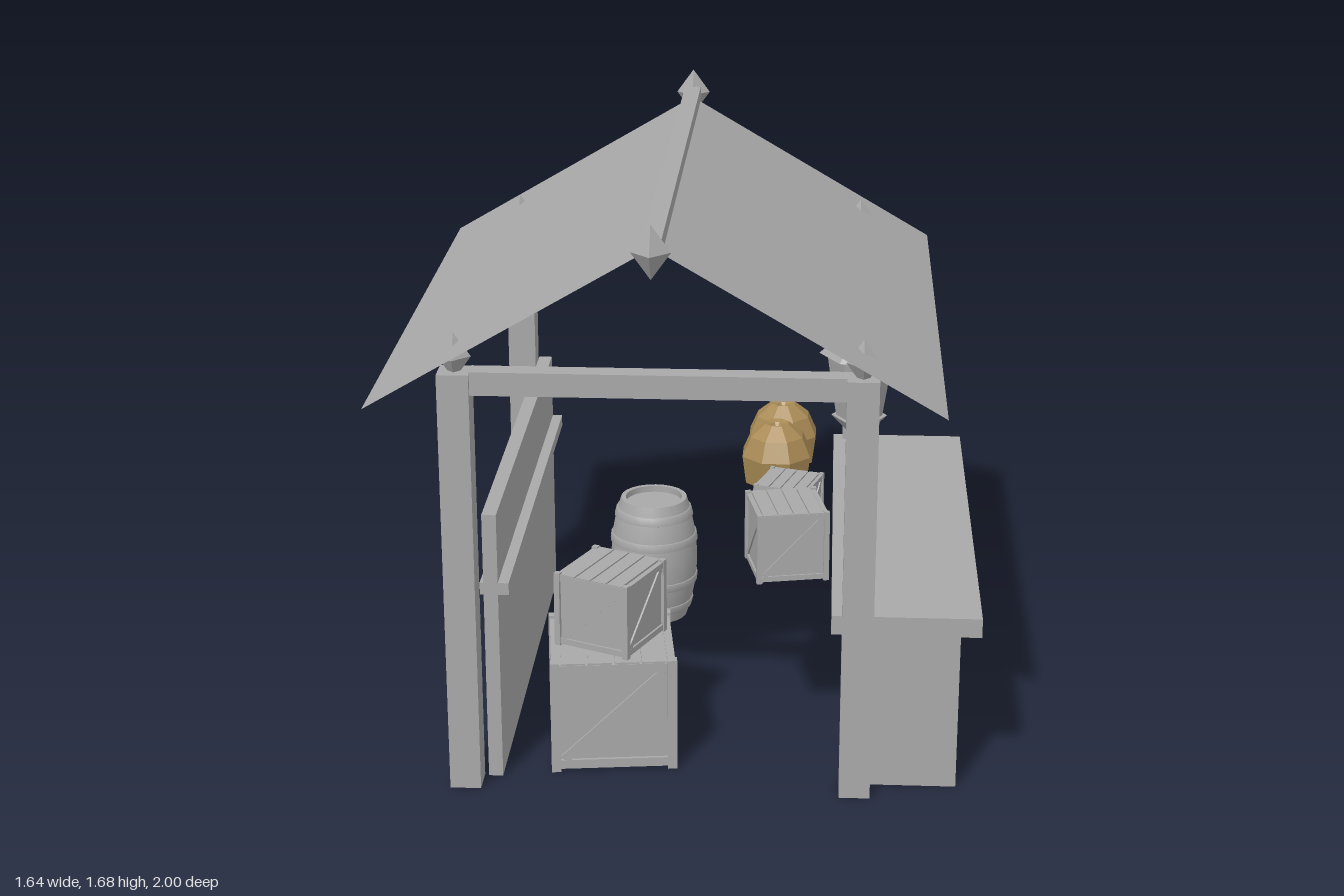
import * as THREE from 'three';

const stone = new THREE.MeshStandardMaterial({ color: 0xa8a8a8, side: THREE.DoubleSide });
stone.name = 'grey';
const tan = new THREE.MeshStandardMaterial({ color: 0xa88a55, side: THREE.DoubleSide });
tan.name = 'tan';

function add(parent, name, geometry, x = 0, y = 0, z = 0, material = stone) {
  const mesh = new THREE.Mesh(geometry, material);
  mesh.name = name;
  mesh.position.set(x, y, z);
  parent.add(mesh);
  return mesh;
}

// Box given by its limits on each axis
function slab(parent, name, [x0, x1], [y0, y1], [z0, z1]) {
  return add(parent, name, new THREE.BoxGeometry(x1 - x0, y1 - y0, z1 - z0),
    (x0 + x1) / 2, (y0 + y1) / 2, (z0 + z1) / 2);
}

// Four-sided diamond ornament
function finial(parent, name, x, y, z, r, h) {
  add(parent, name, new THREE.OctahedronGeometry(1).scale(r, h, r), x, y, z);
}

function faceted(geometry) {
  const flat = geometry.toNonIndexed();
  flat.computeVertexNormals();
  return flat;
}

function lathe(points, sides) {
  return new THREE.LatheGeometry(points.map(([r, y]) => new THREE.Vector2(r, y)), sides);
}

// Wooden crate: panel box, corner posts, rails, diagonal braces and lid planks
function crate(parent, name, w, h, x, y, z, degrees) {
  const g = new THREE.Group();
  g.name = name;
  const t = w * 0.075, inset = t * 0.5;
  slab(g, 'panels', [-w / 2 + inset, w / 2 - inset], [inset, h - inset], [-w / 2 + inset, w / 2 - inset]);
  const span = w - 2 * t, rise = h - 2 * t;
  for (let i = 0; i < 4; i++) {
    const side = new THREE.Group();
    side.name = 'crateSide';
    side.rotation.y = i * Math.PI / 2;
    g.add(side);
    slab(side, 'cornerPost', [-w / 2, -w / 2 + t], [0, h], [w / 2 - t, w / 2]);
    for (const ry of [t * 0.3, h - t * 1.3])
      slab(side, 'rail', [-span / 2, span / 2], [ry, ry + t], [w / 2 - t, w / 2 - t * 0.15]);
    const brace = add(side, 'brace', new THREE.BoxGeometry(Math.hypot(span, rise) - t, t, t * 0.4),
      0, h / 2, w / 2 - t * 0.4);
    brace.rotation.z = Math.atan2(rise, span);
  }
  for (let i = 0; i < 4; i++) {
    const p = span / 4, px = -span / 2 + i * p;
    slab(g, 'lidPlank', [px + p * 0.05, px + p * 0.95], [h - inset, h - t * 0.1], [-w / 2 + t * 0.2, w / 2 - t * 0.2]);
  }
  g.position.set(x, y, z);
  g.rotation.y = THREE.MathUtils.degToRad(degrees);
  parent.add(g);
}

export function createModel() {
  const model = new THREE.Group();
  model.name = 'marketStall';
  const postX = [-0.6, 0.482], postZ = 0.725;

  // Corner posts with diamond tops, and the cross beams
  for (const sz of [-1, 1]) {
    for (const x of postX) {
      slab(model, 'post', [x - 0.043, x + 0.043], [0, 1.215], [sz * postZ - 0.043, sz * postZ + 0.043]);
      finial(model, 'postFinial', x, 1.255, sz * postZ, 0.046, 0.065);
    }
    slab(model, 'crossBeam', [-0.558, 0.44], [1.155, 1.22], [sz * postZ - 0.03, sz * postZ + 0.03]);
  }
  slab(model, 'sideBeam', [0.452, 0.512], [1.155, 1.22], [-0.69, 0.69]);

  // Two thin roof sheets meeting at the ridge
  const ridgeX = -0.06, ridgeY = 1.605, eaveY = 1.16;
  for (const eaveX of [-0.82, 0.7]) {
    const dx = eaveX - ridgeX, dy = eaveY - ridgeY;
    const sheet = add(model, 'roofSheet', new THREE.PlaneGeometry(Math.hypot(dx, dy), 1.785).rotateX(-Math.PI / 2),
      (eaveX + ridgeX) / 2, (eaveY + ridgeY) / 2, 0);
    sheet.rotation.z = Math.atan(dy / dx);
  }
  slab(model, 'ridgeBar', [ridgeX - 0.025, ridgeX + 0.025], [1.59, 1.632], [-0.92, 0.92]);
  for (const s of [-1, 1]) finial(model, 'ridgeFinial', ridgeX, 1.61, s * 0.948, 0.052, 0.072);

  // Serving counter
  slab(model, 'counterBase', [0.465, 0.765], [0, 0.476], [-0.685, 0.685]);
  slab(model, 'counterTop', [0.41, 0.82], [0.475, 0.53], [-0.725, 0.725]);

  // Back wall with its shelf
  slab(model, 'sideWall', [-0.545, -0.505], [0, 0.79], [-0.69, 0.69]);
  slab(model, 'wallShelf', [-0.555, -0.475], [0.555, 0.59], [-0.69, 0.69]);

  // Hanging six-sided lantern
  const lantern = new THREE.Group();
  lantern.name = 'lantern';
  lantern.position.x = 0.482;
  model.add(lantern);
  const hex = (name, top, bottom, y0, y1) => add(lantern, name,
    faceted(new THREE.CylinderGeometry(top, bottom, y1 - y0, 6).rotateY(Math.PI / 6 * 3)), 0, (y0 + y1) / 2, 0);
  hex('lanternCap', 0.015, 0.12, 1.045, 1.14);
  hex('lanternBody', 0.097, 0.068, 0.855, 1.045);
  hex('lanternBase', 0.082, 0.006, 0.775, 0.855);
  hex('lanternHook', 0.01, 0.01, 1.13, 1.165);
  finial(lantern, 'lanternDrop', 0, 0.762, 0, 0.02, 0.026);

  // Stacked crates on the ground and goods crates by the counter
  crate(model, 'largeCrate', 0.356, 0.335, -0.215, 0, 0.465, 7);
  crate(model, 'smallCrate', 0.235, 0.22, -0.215, 0.335, 0.47, -24);
  crate(model, 'goodsCrate', 0.205, 0.205, 0.28, 0.53, 0.4, 12);
  crate(model, 'smallGoodsCrate', 0.165, 0.16, 0.28, 0.53, 0.105, -17);

  // Rounded low-sided gourds with a dimple on top
  const gourd = [[0, 0.54], [0.06, 0.53], [0.1, 0.548], [0.112, 0.635], [0.085, 0.695], [0.038, 0.733], [0.018, 0.728], [0, 0.705]];
  for (const [x, z] of [[0.235, -0.26], [0.25, -0.447]])
    add(model, 'gourd', faceted(lathe(gourd, 8)), x, 0, z, tan).rotation.y = Math.PI / 8;

  // Barrel with recessed ends and raised hoops
  const barrel = new THREE.Group();
  barrel.name = 'barrel';
  barrel.position.set(-0.16, 0, -0.47);
  model.add(barrel);
  const bulge = y => 0.138 - 0.033 * ((y - 0.2) / 0.2) ** 2;
  const wall = Array.from({ length: 13 }, (_, i) => [bulge(i / 30), i / 30]);
  add(barrel, 'staves', lathe(wall, 24));
  for (const [end, lid] of [[0, 0.02], [0.4, 0.38]]) {
    add(barrel, 'rim', new THREE.RingGeometry(0.09, 0.105, 24).rotateX(end ? -Math.PI / 2 : Math.PI / 2), 0, end, 0);
    add(barrel, 'rimInside', new THREE.CylinderGeometry(0.09, 0.09, 0.02, 24, 1, true), 0, (end + lid) / 2, 0);
    add(barrel, 'lid', new THREE.CircleGeometry(0.09, 24).rotateX(end ? -Math.PI / 2 : Math.PI / 2), 0, lid, 0);
  }
  for (const y of [0.045, 0.13, 0.27, 0.355])
    add(barrel, 'hoop', lathe([[bulge(y - 0.014), y - 0.014], [bulge(y - 0.012) + 0.005, y - 0.012],
      [bulge(y + 0.012) + 0.005, y + 0.012], [bulge(y + 0.014), y + 0.014]], 24));

  return model;
}
